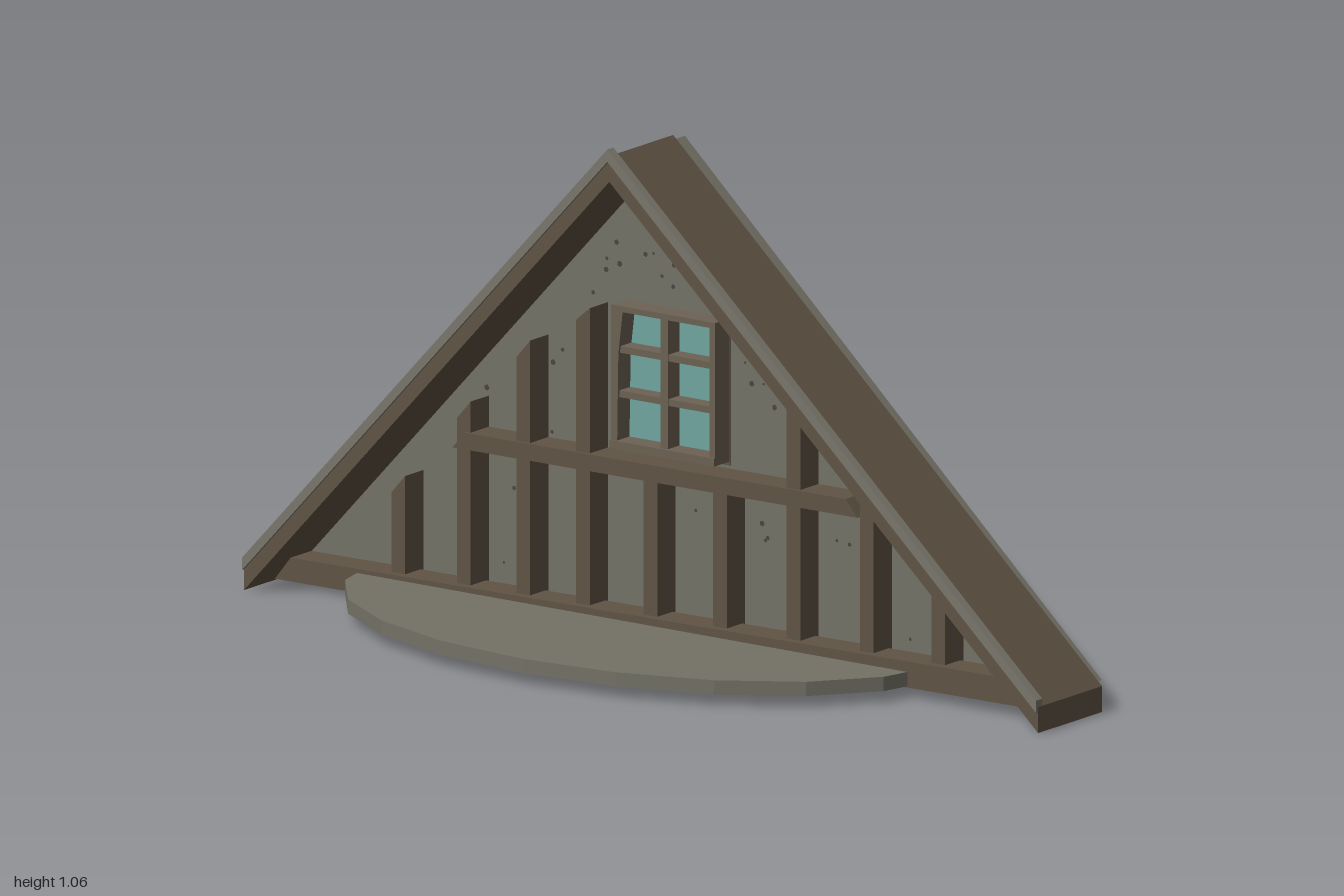
import * as THREE from 'three';

const mat = (name, color) => {
  const m = new THREE.MeshStandardMaterial({ color });
  m.name = name;
  return m;
};

export function createModel() {
  const group = new THREE.Group();
  const timber = mat('brown timber', 0x5f5344);
  const plaster = mat('grey plaster', 0x747266);
  const trimGrey = mat('weathered trim', 0x7a776b);
  const frameWood = mat('window frame wood', 0x6c6153);
  const glassBlue = mat('teal glass', 0x70a5a0);
  const speck = mat('dark speck', 0x4b463c);

  // Extrudes an outline (x, y) between two depths
  function slab(name, pts, z0, z1, material, hole) {
    const shape = new THREE.Shape(pts.map(p => new THREE.Vector2(...p)));
    if (hole) shape.holes.push(new THREE.Path(hole.map(p => new THREE.Vector2(...p))));
    const geo = new THREE.ExtrudeGeometry(shape, { depth: z1 - z0, bevelEnabled: false });
    geo.translate(0, 0, z0);
    const mesh = new THREE.Mesh(geo, material);
    mesh.name = name;
    group.add(mesh);
    return mesh;
  }
  const bar = (name, x0, x1, y0, y1, z0, z1, material) =>
    slab(name, [[x0, y0], [x1, y0], [x1, y1], [x0, y1]], z0, z1, material);

  // Roof: chevron bands with vertical end cuts
  const APEX = -0.08;
  const chevron = (top, thick) => {
    const eave = top - 0.99;
    return [[-1, eave], [-1, eave - thick], [APEX, top - thick], [1, eave - thick], [1, eave], [APEX, top]];
  };
  slab('roof', chevron(1.045, 0.054), -0.24, -0.022, timber);
  slab('roofTrim', chevron(1.06, 0.026), -0.036, -0.015, trimGrey);

  // Gable wall with a skewed window opening
  slab('gableWall', [[-0.98, 0.055], [0.97, 0.055], [APEX, 1.035]], -0.28, -0.18, plaster,
    [[-0.166, 0.4], [-0.166, 0.69], [0.02, 0.69], [0.097, 0.4]]);

  // Timber framing
  slab('sillBeam', [[-0.98, 0.012], [0.98, 0.025], [0.93, 0.08], [-0.94, 0.062]], -0.17, -0.1, timber);
  slab('middleRail', [[-0.54, 0.35], [0.48, 0.355], [0.45, 0.39], [-0.51, 0.385]], -0.19, -0.11, timber);
  // left edge, top at left edge, top at right edge
  [
    [-0.70, 0.23, 0.27], [-0.535, 0.41, 0.45], [-0.385, 0.56, 0.6], [-0.235, 0.66, 0.69],
    [-0.065, 0.36, 0.36], [0.11, 0.36, 0.36], [0.295, 0.58, 0.55], [0.48, 0.44, 0.41],
    [0.66, 0.32, 0.28], [0.805, 0.18, 0.15],
  ].forEach(([x, a, b]) =>
    slab('post', [[x, 0.05], [x + 0.035, 0.05], [x + 0.035, b], [x, a]], -0.19, -0.118, timber));

  // Window: backing board, glass, frame and glazing bars
  bar('windowBacking', -0.17, 0.11, 0.395, 0.695, -0.22, -0.178, timber);
  bar('windowGlass', -0.15, 0.1, 0.41, 0.695, -0.177, -0.172, glassBlue);
  slab('windowJamb', [[-0.155, 0.41], [-0.14, 0.41], [-0.137, 0.6], [-0.125, 0.7], [-0.155, 0.7]], -0.18, -0.13, frameWood);
  bar('windowJamb', 0.093, 0.107, 0.41, 0.7, -0.18, -0.13, frameWood);
  bar('windowMullion', -0.032, -0.014, 0.41, 0.7, -0.18, -0.132, frameWood);
  for (const y of [0.51, 0.603]) bar('glazingBar', -0.15, 0.1, y, y + 0.014, -0.18, -0.135, frameWood);
  bar('windowHead', -0.155, 0.107, 0.69, 0.702, -0.18, -0.13, frameWood);
  bar('windowSill', -0.155, 0.107, 0.403, 0.42, -0.18, -0.125, frameWood);

  // Faceted half-round balcony slab
  const arc = [];
  for (let i = 0; i <= 10; i++) {
    const a = Math.PI * i / 10;
    arc.push([APEX + 0.713 * Math.cos(a), -0.455 * Math.sin(a)]);
  }
  const balcony = slab('balcony', arc, 0, 0.03, plaster);
  balcony.rotation.x = Math.PI / 2;
  balcony.scale.y = -1;
  balcony.geometry.scale(1, -1, 1);
  // Bake the orientation so that the arc points forward
  balcony.scale.y = 1;
  const index = balcony.geometry.attributes.position;
  for (let t = 0; t < index.count; t += 3) {
    const p = [1, 2].map(k => new THREE.Vector3().fromBufferAttribute(index, t + k));
    index.setXYZ(t + 1, p[1].x, p[1].y, p[1].z);
    index.setXYZ(t + 2, p[0].x, p[0].y, p[0].z);
  }
  balcony.geometry.computeVertexNormals();
  balcony.position.set(0, 0.055, -0.18);

  // Specks scattered over the plaster
  let seed = 7;
  const rand = () => (seed = (seed * 16807) % 2147483647) / 2147483647;
  for (let i = 0; i < 70; i++) {
    const y = 0.1 + 0.75 * rand();
    const half = 0.93 - y;
    const x = APEX + (rand() * 2 - 1) * half * 0.92;
    const r = 0.003 + 0.004 * rand();
    if (x > -0.19 && x < 0.13 && y > 0.38 && y < 0.72) continue;
    const dot = new THREE.Mesh(new THREE.CircleGeometry(r, 5), speck);
    dot.name = 'plasterSpeck';
    dot.position.set(x, y, -0.178);
    group.add(dot);
  }
  return group;
}
